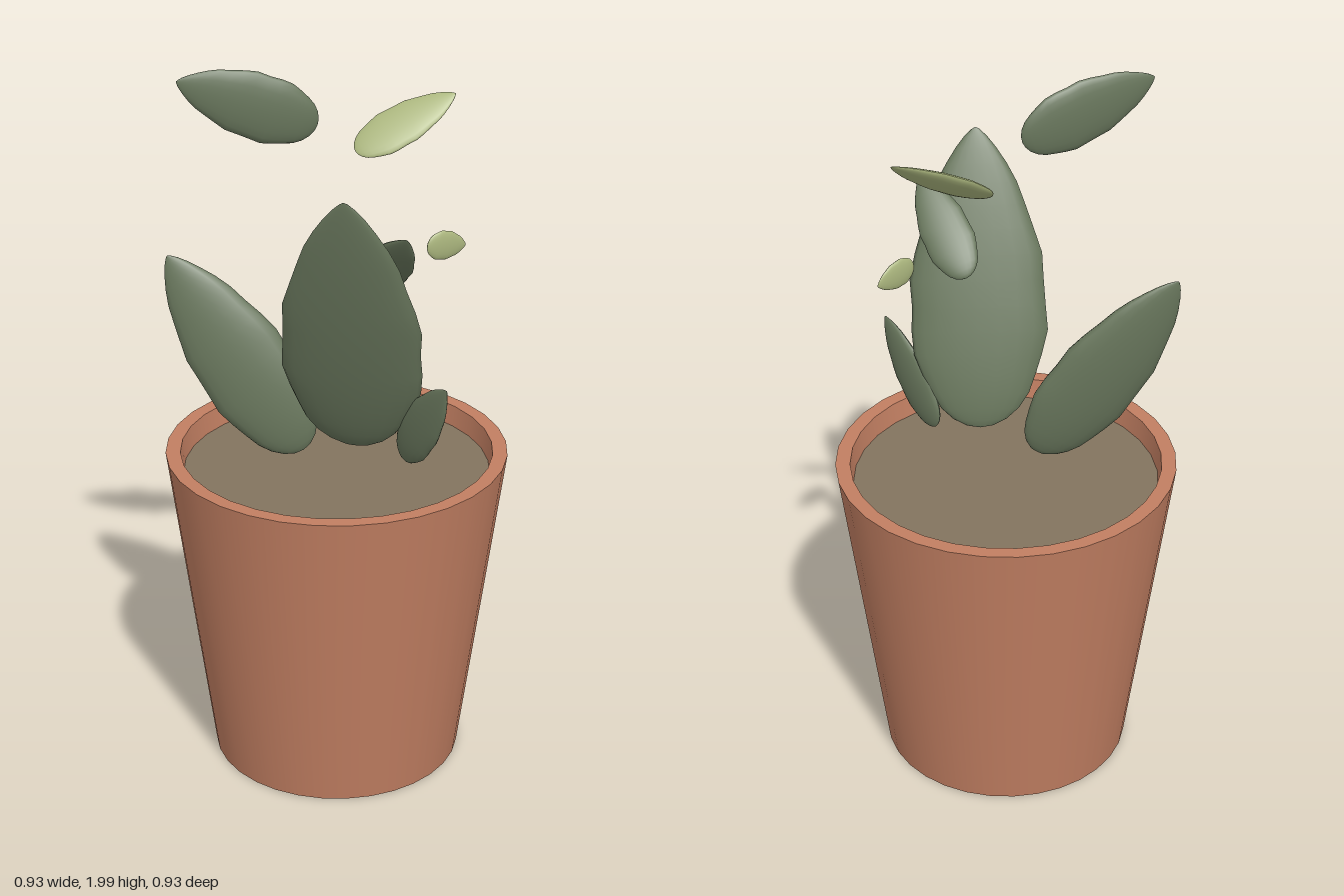
import * as THREE from 'three';

const terracotta = new THREE.MeshStandardMaterial({ name: 'terracotta', color: 0xc27f62 });
const earth = new THREE.MeshStandardMaterial({ name: 'earth', color: 0x83745f });
const darkGreen = new THREE.MeshStandardMaterial({ name: 'darkGreen', color: 0x68765c });
const lightGreen = new THREE.MeshStandardMaterial({ name: 'lightGreen', color: 0xabb67e });

const SIDES = 32;

// Leaf: a flattened pod with a round base, a pointed tip and a slightly wavy edge.
function makeLeaf({ name, base, tip, normal, width, thick, material }) {
  const a = new THREE.Vector3(...base);
  const axis = new THREE.Vector3(...tip).sub(a);
  const length = axis.length();
  axis.normalize();
  const side = new THREE.Vector3().crossVectors(axis, new THREE.Vector3(...normal)).normalize();
  const face = new THREE.Vector3().crossVectors(side, axis);

  const geo = new THREE.SphereGeometry(1, 20, 18);
  const pos = geo.attributes.position;
  for (let i = 0; i < pos.count; i++) {
    const y = pos.getY(i);
    const t = Math.min(1, Math.max(0, (y + 1) / 2));
    const r = Math.sqrt(Math.max(0, 1 - y * y));
    const k = r < 1e-4 ? 0 : (Math.sqrt(t) * Math.pow(1 - t, 0.75)) / 0.431 / r;
    const x = pos.getX(i) * k;
    const wave = 1 + 0.03 * Math.sin(t * 24 + (x > 0 ? 1.5 : 0)) * Math.abs(x);
    pos.setXYZ(i, (x * wave * width) / 2, t * length, (pos.getZ(i) * k * thick) / 2);
  }
  geo.applyMatrix4(new THREE.Matrix4().makeBasis(side, axis, face).setPosition(a));
  geo.computeVertexNormals();
  const mesh = new THREE.Mesh(geo, material);
  mesh.name = name;
  return mesh;
}

// Pot: one lathe band per straight run so the rim edges stay crisp.
function makePot() {
  const pot = new THREE.Group();
  pot.name = 'pot';
  const profile = [[0, 0], [0.345, 0], [0.465, 0.91], [0.425, 0.91], [0.417, 0.85]];
  const names = ['potBottom', 'potWall', 'potRim', 'potInnerWall'];
  names.forEach((name, i) => {
    const points = [profile[i], profile[i + 1]].map(([x, y]) => new THREE.Vector2(x, y));
    const band = new THREE.Mesh(new THREE.LatheGeometry(points, SIDES), terracotta);
    band.name = name;
    pot.add(band);
  });
  return pot;
}

export function createModel() {
  const model = new THREE.Group();
  model.name = 'pottedPlant';
  model.add(makePot());

  // Soil disc just below the rim
  const soil = new THREE.Mesh(new THREE.CircleGeometry(0.418, SIDES), earth);
  soil.name = 'soil';
  soil.rotation.set(-Math.PI / 2, 0, Math.PI / 2);
  soil.position.y = 0.852;
  model.add(soil);

  // Leaves, each set by its base, tip and facing direction
  const leaves = [
    { name: 'largeLeaf', base: [0.08, 0.96, 0.07], tip: [0.125, 1.74, 0.33],
      normal: [0.13, -0.33, 0.94], width: 0.37, thick: 0.085, material: darkGreen },
    { name: 'rightLeaf', base: [-0.08, 0.91, 0.045], tip: [-0.445, 1.445, 0.085],
      normal: [0.3, 0.13, 1], width: 0.26, thick: 0.08, material: darkGreen },
    { name: 'leftLeaf', base: [0.205, 0.95, 0.075], tip: [0.362, 1.215, 0.205],
      normal: [-0.62, 0, 0.78], width: 0.135, thick: 0.04, material: darkGreen },
    { name: 'backLeaf', base: [0.115, 1.42, 0.075], tip: [0.263, 1.63, 0.25],
      normal: [0, -0.63, 0.77], width: 0.135, thick: 0.04, material: darkGreen },
    { name: 'topLeaf', base: [-0.035, 1.835, 0.05], tip: [-0.355, 1.965, 0.207],
      normal: [0.43, 0, 0.9], width: 0.175, thick: 0.045, material: darkGreen },
    { name: 'paleLeaf', base: [0.03, 1.735, -0.065], tip: [0.258, 1.872, -0.207],
      normal: [0, 0.7, 0.7], width: 0.125, thick: 0.028, material: lightGreen },
    { name: 'smallPaleLeaf', base: [0.237, 1.51, -0.033], tip: [0.316, 1.49, -0.125],
      normal: [0.73, 0, 0.68], width: 0.08, thick: 0.02, material: lightGreen },
  ];
  leaves.forEach((leaf) => model.add(makeLeaf(leaf)));
  return model;
}
